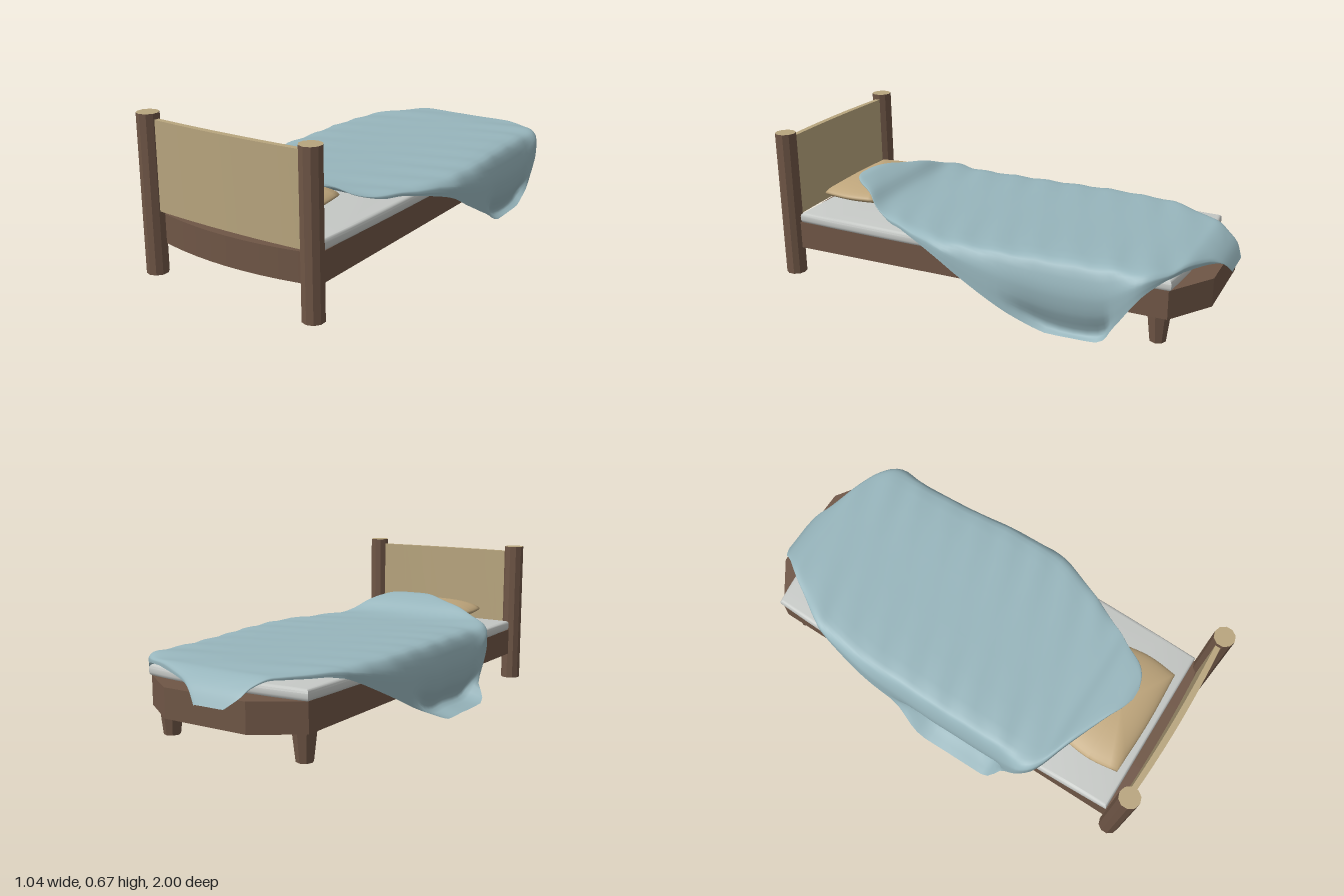
import * as THREE from 'three';
import { toCreasedNormals } from 'three/addons/utils/BufferGeometryUtils.js';

const material = (name, color, extra = {}) => {
  const m = new THREE.MeshStandardMaterial({ color, ...extra });
  m.name = name;
  return m;
};

// Extrudes a plan outline (x right, z down) upwards from height y.
function slab(shape, y, height, bevel = 0) {
  const g = new THREE.ExtrudeGeometry(shape, {
    depth: height - 2 * bevel, curveSegments: 10,
    bevelEnabled: bevel > 0, bevelSize: bevel, bevelThickness: bevel, bevelOffset: -bevel, bevelSegments: 3,
  });
  g.rotateX(-Math.PI / 2).translate(0, y + bevel, 0);
  return toCreasedNormals(g, 0.6);
}

// Hem and top line of the blanket: z, right x, right hem y, left x, left hem y, top y.
const BLANKET = [
  [-1.0, -0.13, 0.22, 0.02, 0.21, 0.215],
  [-0.97, -0.18, 0.26, 0.07, 0.26, 0.265],
  [-0.93, -0.2, 0.29, 0.14, 0.28, 0.3],
  [-0.88, -0.235, 0.31, 0.28, 0.3, 0.325],
  [-0.83, -0.27, 0.31, 0.4, 0.3, 0.33],
  [-0.75, -0.32, 0.31, 0.48, 0.24, 0.335],
  [-0.65, -0.385, 0.3, 0.49, 0.1, 0.335],
  [-0.57, -0.42, 0.275, 0.495, 0.005, 0.335],
  [-0.35, -0.46, 0.17, 0.505, 0.005, 0.335],
  [-0.15, -0.465, 0.075, 0.52, 0.1, 0.335],
  [0.02, -0.47, 0.005, 0.515, 0.19, 0.335],
  [0.15, -0.47, 0.005, 0.5, 0.26, 0.335],
  [0.34, -0.47, 0.005, 0.42, 0.305, 0.335],
  [0.43, -0.47, 0.11, 0.375, 0.31, 0.335],
  [0.5, -0.47, 0.24, 0.335, 0.33, 0.34],
  [0.56, -0.42, 0.3, 0.3, 0.35, 0.355],
  [0.62, -0.28, 0.36, 0.25, 0.385, 0.395],
  [0.7, -0.1, 0.41, 0.2, 0.41, 0.422],
  [0.74, -0.02, 0.42, 0.15, 0.42, 0.425],
  [0.76, 0.04, 0.42, 0.09, 0.42, 0.42],
];

// One hanging side, from the shoulder on the mattress down to the hem.
function drape(s, x, hem, top, width, flare) {
  const d = top - hem;
  const w = THREE.MathUtils.smoothstep(d, 0.24, 0.33);
  const r = Math.min(0.1, width * 0.25);
  return [
    [x - s * r, top],
    [x - s * r * 0.3, top - 0.1 * d],
    [x - s * 0.004, top - 0.38 * d],
    [x - s * 0.015 * w, top - 0.65 * d],
    [x - s * 0.05 * w, hem + (1 - w) * 0.15 * d + 0.03 * w],
    [x + s * flare * w, Math.max(hem, 0.003)],
  ];
}

function blanketGeometry() {
  const rows = 76, cols = 40, positions = [], index = [];
  const row = (u) => {
    const f = u * (BLANKET.length - 1), i = Math.min(Math.floor(f), BLANKET.length - 2), t = f - i;
    const at = (k) => BLANKET[THREE.MathUtils.clamp(k, 0, BLANKET.length - 1)];
    return BLANKET[0].map((_, c) => {
      const [a, b, e, g] = [at(i - 1)[c], at(i)[c], at(i + 1)[c], at(i + 2)[c]];
      return b + 0.5 * t * (e - a + t * (2 * a - 5 * b + 4 * e - g + t * (3 * (b - e) + g - a)));
    });
  };
  for (let j = 0; j <= rows; j++) {
    const [z, xr, yr, xl, yl, top] = row(j / rows);
    const section = [
      ...drape(-1, xr, yr, top, xl - xr, 0.05).reverse(),
      [(xl + xr) / 2, top],
      ...drape(1, xl, yl, top, xl - xr, -0.02),
    ].map(([x, y]) => new THREE.Vector3(x, y, z));
    const curve = new THREE.CatmullRomCurve3(section, false, 'catmullrom', 0.4);
    for (let i = 0; i <= cols; i++) {
      const p = curve.getPoint(i / cols);
      const ripple = p.y > 0.3 ? 0.003 * Math.sin(z * 38 + p.x * 14) * Math.min(1, Math.abs(p.x) * 3) : 0;
      positions.push(p.x, Math.max(p.y + ripple, 0), z);
      if (i < cols && j < rows) {
        const a = j * (cols + 1) + i, b = a + cols + 1;
        index.push(a, b, a + 1, b, b + 1, a + 1);
      }
    }
  }
  const g = new THREE.BufferGeometry();
  g.setAttribute('position', new THREE.Float32BufferAttribute(positions, 3));
  g.setIndex(index);
  g.computeVertexNormals();
  return g;
}

// Sphere squared off in plan and pinched to a seam around the rim.
function pillowGeometry() {
  const g = new THREE.SphereGeometry(1, 40, 20), p = g.attributes.position;
  for (let i = 0; i < p.count; i++) {
    const x = p.getX(i), y = p.getY(i), z = p.getZ(i);
    const big = Math.max(Math.abs(x), Math.abs(z));
    const f = big > 1e-6 ? 1 + 0.8 * (Math.hypot(x, z) / big - 1) : 1;
    p.setXYZ(i, x * f * 0.273, Math.sign(y) * Math.abs(y) ** 1.2 * 0.055, z * f * 0.143);
  }
  g.computeVertexNormals();
  return g;
}

export function createModel() {
  const group = new THREE.Group();
  const wood = material('dark wood', 0x6f5646, { flatShading: true });
  const tan = material('light wood', 0xb8a57e);
  const pillowCloth = material('pillow cloth', 0xbfa67c);
  const sheet = material('sheet', 0xc6c9c6);
  const cloth = material('blanket cloth', 0x97b5bc, { side: THREE.DoubleSide });
  const add = (name, geometry, mat, x = 0, y = 0, z = 0) => {
    const mesh = new THREE.Mesh(geometry, mat);
    mesh.name = name;
    mesh.position.set(x, y, z);
    group.add(mesh);
  };

  // Bed frame with a cut-cornered foot and a bowed head
  const frame = new THREE.Shape();
  frame.moveTo(-0.39, 0.835);
  frame.lineTo(-0.2, 0.965);
  frame.lineTo(0.2, 0.965);
  frame.lineTo(0.39, 0.835);
  frame.lineTo(0.4, -0.92);
  frame.quadraticCurveTo(0, -1.025, -0.4, -0.92);
  frame.closePath();
  add('frame', slab(frame, 0.125, 0.125), wood);

  // Mattress with softly bowed sides
  const mattress = new THREE.Shape();
  mattress.moveTo(-0.395, 0.845);
  mattress.quadraticCurveTo(0, 0.9, 0.395, 0.845);
  mattress.quadraticCurveTo(0.435, 0, 0.402, -0.9);
  mattress.lineTo(-0.402, -0.9);
  mattress.quadraticCurveTo(-0.435, 0, -0.395, 0.845);
  add('mattress', slab(mattress, 0.247, 0.049, 0.016), sheet);

  // Bowed headboard panel
  const board = new THREE.Shape();
  board.moveTo(-0.37, -0.935);
  board.lineTo(-0.37, -0.958);
  board.quadraticCurveTo(0, -0.985, 0.37, -0.958);
  board.lineTo(0.37, -0.935);
  board.quadraticCurveTo(0, -0.955, -0.37, -0.935);
  add('headboard', slab(board, 0.27, 0.375), tan);

  // Head posts with pale ends, and tapered foot legs
  for (const s of [-1, 1]) {
    const side = s > 0 ? 'left' : 'right';
    add(side + 'HeadPost', new THREE.CylinderGeometry(0.046, 0.046, 0.67, 10), [wood, tan, tan], s * 0.396, 0.335, 0.95);
    add(side + 'FootLeg', new THREE.CylinderGeometry(0.05, 0.035, 0.13, 8), wood, s * 0.335, 0.065, -0.785);
  }

  // Bedding
  add('pillow', pillowGeometry(), pillowCloth, 0, 0.353, 0.725);
  add('blanket', blanketGeometry(), cloth);
  return group;
}
